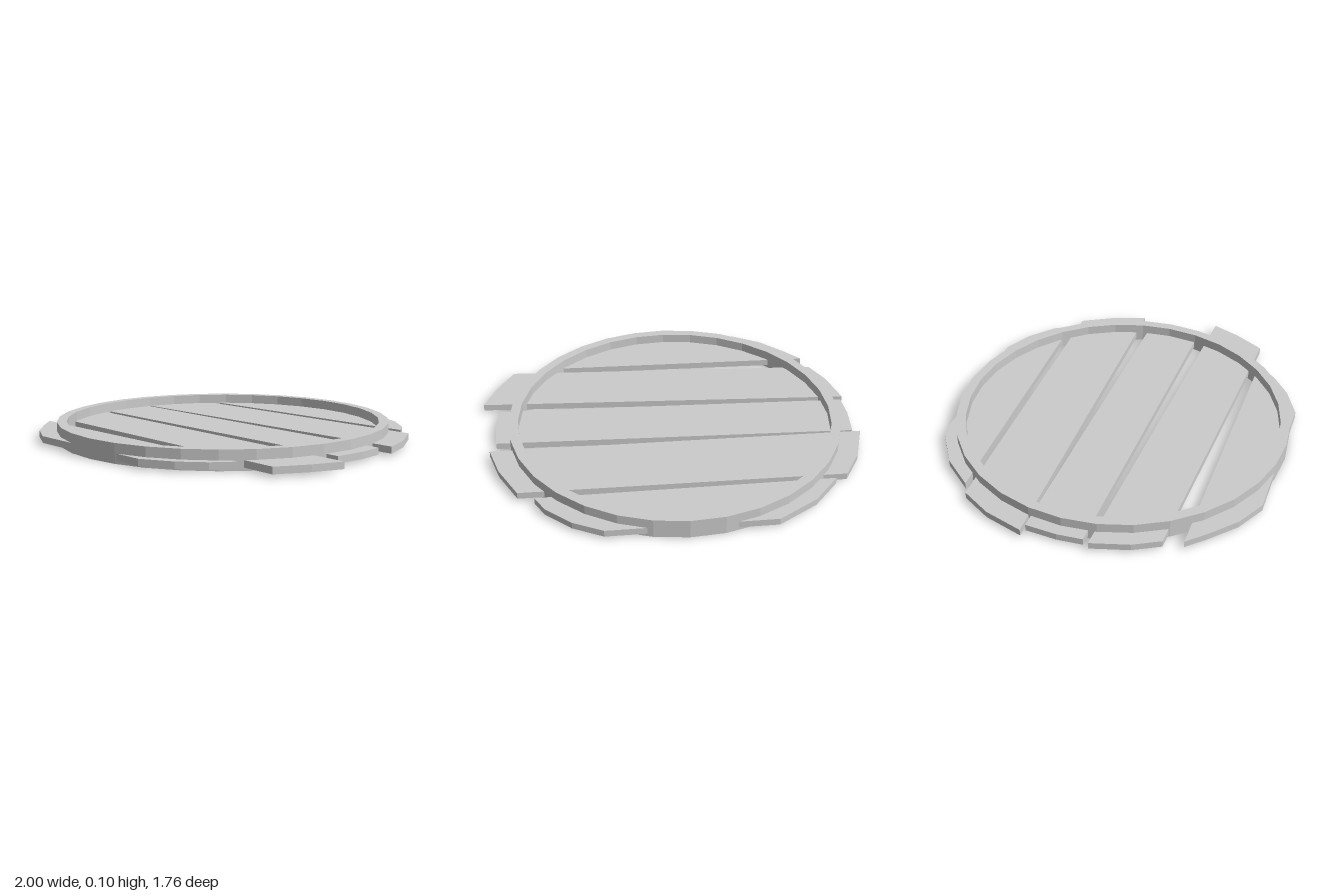
import * as THREE from 'three';

// Outlines of the boards as [x, z] corners, back to front
const BOARDS = [
  [[-0.79, -0.555], [-0.66, -0.71], [-0.46, -0.84], [0.37, -0.86], [0.52, -0.79], [0.65, -0.68], [0.7, -0.595]],
  [[-1, -0.17], [-0.94, -0.37], [-0.85, -0.525], [0.785, -0.55], [0.885, -0.37], [0.94, -0.2]],
  [[-0.96, 0.13], [-0.97, 0], [-0.96, -0.16], [0.91, -0.135], [0.92, 0], [0.905, 0.16]],
  [[-0.85, 0.48], [-0.92, 0.35], [-0.975, 0.16], [1, 0.23], [0.94, 0.38], [0.85, 0.54]],
  [[-0.46, 0.86], [-0.61, 0.78], [-0.74, 0.66], [-0.82, 0.575], [0.67, 0.575], [0.59, 0.68], [0.47, 0.78], [0.31, 0.86]],
];
const BOARD_BOTTOM = 0.015, BOARD_THICKNESS = 0.035;

// Top and side walls of a board, hollow and open underneath
function boardGeometry(outline) {
  const shape = new THREE.Shape(outline.map(([x, z]) => new THREE.Vector2(x, -z)));
  const solid = new THREE.ExtrudeGeometry(shape, { depth: BOARD_THICKNESS, bevelEnabled: false });
  // The lower lid comes first: leave out its triangles
  const lidLength = (outline.length - 2) * 9;
  const positions = solid.attributes.position.array.slice(lidLength);
  const geometry = new THREE.BufferGeometry();
  geometry.setAttribute('position', new THREE.BufferAttribute(positions, 3));
  geometry.rotateX(-Math.PI / 2);
  geometry.computeVertexNormals();
  return geometry;
}

export function createModel() {
  const model = new THREE.Group();
  model.name = 'roundBoardLid';
  const material = new THREE.MeshStandardMaterial({ color: 0xcccccc, flatShading: true, side: THREE.DoubleSide });

  // Hoop: inner wall, top rim and outer wall, open underneath
  const profile = [[0.88, 0], [0.88, 0.1], [0.83, 0.1], [0.83, 0]].map(([r, y]) => new THREE.Vector2(r, y));
  const hoop = new THREE.Mesh(new THREE.LatheGeometry(profile, 32), material);
  hoop.name = 'hoop';
  hoop.position.x = -0.03;
  model.add(hoop);

  // Slightly crooked boards running through the hoop
  const boards = new THREE.Group();
  boards.name = 'boards';
  BOARDS.forEach((outline, i) => {
    const board = new THREE.Mesh(boardGeometry(outline), material);
    board.name = `board${i + 1}`;
    board.position.y = BOARD_BOTTOM;
    boards.add(board);
  });
  model.add(boards);
  return model;
}
